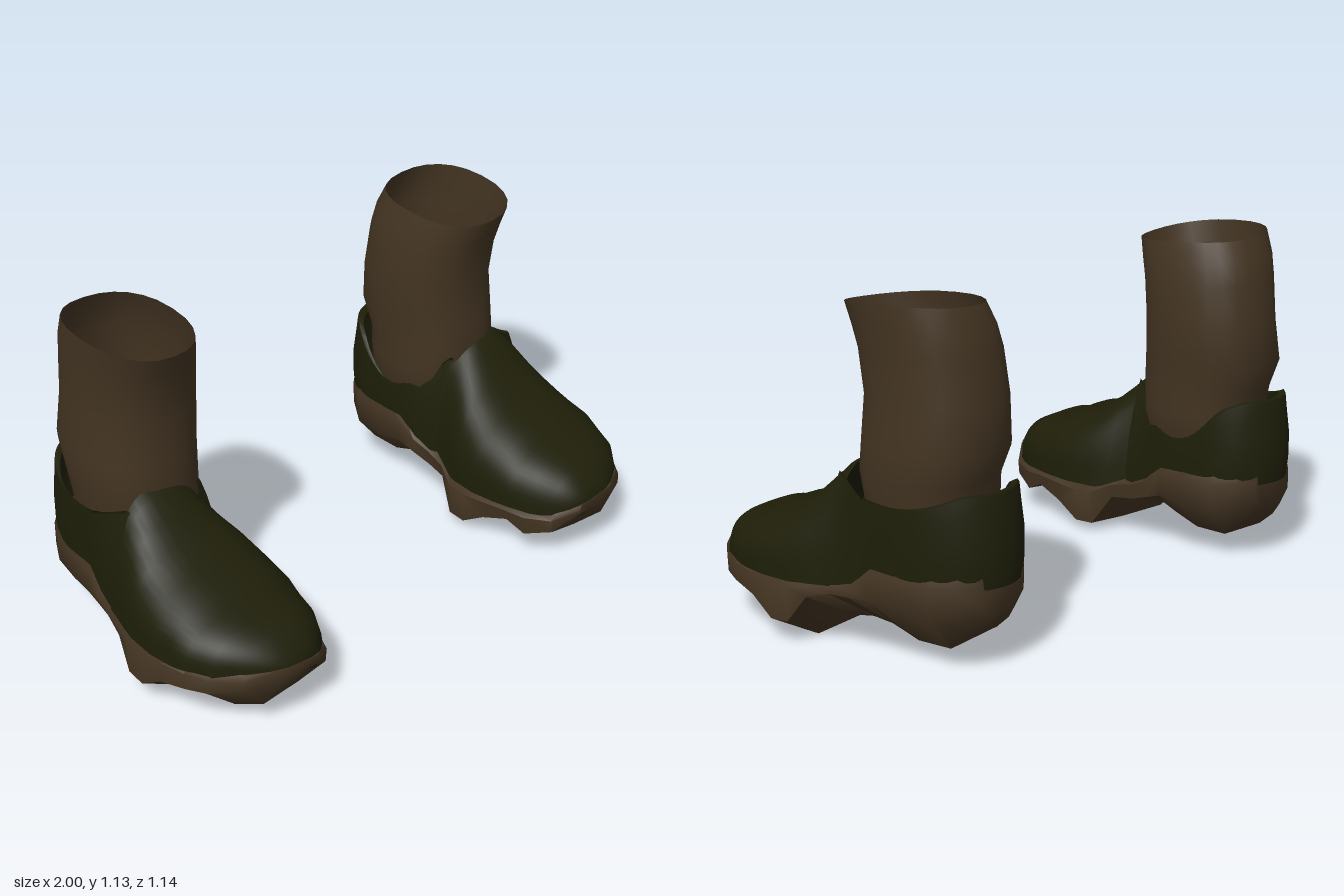
import * as THREE from 'three';
import { toCreasedNormals } from 'three/addons/utils/BufferGeometryUtils.js';

const brown = new THREE.MeshStandardMaterial({ color: 0x433422, side: THREE.DoubleSide });
brown.name = 'brown leather';
const green = new THREE.MeshStandardMaterial({ color: 0x1e1e09, side: THREE.DoubleSide });
green.name = 'dark green cloth';

const { smoothstep, clamp } = THREE.MathUtils;

// Skin a list of cross-sections (arrays of [x, y, z]); side -1 mirrors in x
function loft(rows, side, { closed = false, capStart = false, capEnd = false } = {}) {
  const n = rows[0].length, pos = [], idx = [];
  rows.forEach(r => r.forEach(p => pos.push(p[0] * side, p[1], p[2])));
  const tri = (a, b, c) => (side > 0 ? idx.push(a, b, c) : idx.push(a, c, b));
  for (let i = 0; i < rows.length - 1; i++) {
    for (let j = 0; j < (closed ? n : n - 1); j++) {
      const a = i * n + j, b = i * n + (j + 1) % n;
      tri(a, b, a + n);
      tri(b, b + n, a + n);
    }
  }
  const last = (rows.length - 1) * n;
  for (let j = 1; j < n - 1; j++) {
    if (capStart) tri(0, j + 1, j);
    if (capEnd) tri(last, last + j, last + j + 1);
  }
  const g = new THREE.BufferGeometry();
  g.setAttribute('position', new THREE.Float32BufferAttribute(pos, 3));
  g.setIndex(idx);
  g.computeVertexNormals();
  return g;
}

const pow = (v, e) => Math.sign(v) * Math.abs(v) ** e;

// Rounded arch sections over the forefoot: z, inner x, outer x, top y
const VAMP = [
  [0.565, 0.63, 0.75, 0.235], [0.545, 0.59, 0.8, 0.265], [0.5, 0.54, 0.87, 0.31],
  [0.43, 0.5, 0.935, 0.343], [0.35, 0.477, 0.973, 0.352], [0.29, 0.465, 0.987, 0.392],
  [0.2, 0.455, 0.995, 0.414], [0.1, 0.465, 0.985, 0.475], [0.04, 0.485, 0.972, 0.53],
  [-0.02, 0.505, 0.955, 0.588], [-0.055, 0.51, 0.947, 0.605],
];
function vampRows() {
  return VAMP.map(([z, xi, xo, top]) => {
    const row = [], c = (xi + xo) / 2, w = (xo - xi) / 2;
    for (let k = 0; k <= 24; k++) {
      const a = Math.PI * k / 24, u = pow(Math.cos(a), 0.75);
      const base = 0.19 + 0.02 * u;
      // ankle sections narrow towards the top, and the peak sits slightly outward
      const s = Math.sin(a) ** 0.75, ankle = s * smoothstep(-z, -0.15, 0.05);
      row.push([c + w * u * (1 - 0.16 * ankle) + 0.012 * ankle * s, base + (top - base) * s, z]);
    }
    return row;
  });
}

// Heel wall: path round the back from the outer to the inner side
const HEEL = [
  [0.952, -0.03], [0.938, -0.08], [0.912, -0.2], [0.897, -0.33], [0.868, -0.43], [0.815, -0.51],
  [0.73, -0.562], [0.64, -0.562], [0.555, -0.51], [0.508, -0.43], [0.493, -0.33],
  [0.493, -0.2], [0.503, -0.08], [0.507, -0.03],
];
function heelRows() {
  const path = new THREE.CatmullRomCurve3(HEEL.map(([x, z]) => new THREE.Vector3(x, 0, z))).getPoints(44);
  const collar = (x, z) => {
    const t = clamp((-z - 0.04) / 0.48, 0, 1);
    const outer = 0.515 + (t < 0.5 ? 0.055 : 0.06) * (2 * t - 1) ** 2;
    // the inner side is cut lower than the outer
    const dip = x < 0.6 ? 0.1 * Math.sin(Math.PI * Math.min(1, t * 1.15)) : 0;
    return outer - dip;
  };
  // height fraction and inward scale of each row, ending in a turned-in lip
  return [[0, 0.98], [0.2, 1], [0.5, 1], [0.8, 0.96], [0.97, 0.94], [1, 0.92], [0.96, 0.85]].map(([t, s]) =>
    path.map(p => {
      const low = 0.2 + 0.08 * smoothstep(-p.z, 0.12, 0.22);
      const sx = 1 - (1 - s) * 0.3 - 0.36 * t * t * smoothstep(p.z, -0.2, 0);
      return [0.72 + (p.x - 0.72) * sx, low + (collar(p.x, p.z) - low) * t, p.z < -0.2 ? -0.2 + (p.z + 0.2) * s : p.z];
    }));
}

// Sole sections: z, inner x, outer x, bottom y, outer ridge y, top y inner, top y outer
const SOLE = [
  [0.567, 0.61, 0.77, 0.17, 0.19, 0.205, 0.22], [0.51, 0.53, 0.88, 0.085, 0.17, 0.175, 0.22],
  [0.42, 0.485, 0.95, 0.055, 0.155, 0.17, 0.22], [0.35, 0.468, 0.98, 0.09, 0.15, 0.17, 0.22],
  [0.25, 0.455, 0.995, 0.055, 0.13, 0.17, 0.22], [0.16, 0.45, 1, 0, 0.075, 0.17, 0.22],
  [0.09, 0.455, 0.995, 0.002, 0.08, 0.18, 0.22], [0.02, 0.485, 0.975, 0.11, 0.175, 0.2, 0.22],
  [-0.06, 0.5, 0.955, 0.1, 0.2, 0.22, 0.225], [-0.13, 0.49, 0.938, 0.11, 0.2, 0.25, 0.245],
  [-0.2, 0.482, 0.922, 0.1, 0.2, 0.31, 0.315], [-0.3, 0.482, 0.907, 0.068, 0.2, 0.32, 0.325],
  [-0.42, 0.493, 0.88, 0.068, 0.2, 0.32, 0.325], [-0.49, 0.535, 0.84, 0.125, 0.215, 0.32, 0.325],
  [-0.54, 0.59, 0.78, 0.18, 0.23, 0.31, 0.315],
];
function soleRows() {
  return SOLE.map(([z, xi, xo, b, ridge, ti, to]) => {
    const w = xo - xi, h = Math.min(ti, to) - b;
    // the heel block is undercut more than the forefoot
    const heel = smoothstep(-z, 0, 0.2);
    return [
      [xi + w * 0.06, ti + 0.01, z], [xi, ti - h * 0.15, z], [xi + w * 0.015, b + Math.min(0.03 + 0.08 * heel, h * 0.45), z],
      [xi + w * (0.35 - 0.12 * heel), b + 0.012, z], [xi + w * 0.76, b, z],
      [xo, ridge, z], [xo, Math.max(to - h * 0.15, ridge + 0.01), z], [xo - w * 0.05, to + 0.01, z],
    ];
  });
}

// Ankle tube rings: y, inner x, outer x, front z, back z
const SOCK = [
  [0.3, 0.55, 0.84, -0.05, -0.42], [0.4, 0.5, 0.86, -0.04, -0.44], [0.5, 0.492, 0.872, -0.035, -0.45],
  [0.58, 0.495, 0.885, -0.028, -0.46], [0.68, 0.487, 0.885, -0.033, -0.502], [0.82, 0.48, 0.872, -0.04, -0.486],
  [0.96, 0.492, 0.875, -0.022, -0.47], [1.03, 0.505, 0.88, -0.002, -0.455], [1.1, 0.525, 0.885, 0.02, -0.425],
];
function sockRows() {
  return SOCK.map(([y, xi, xo, zf, zb]) => {
    const row = [], tilt = smoothstep(y, 0.7, 1.1);
    for (let k = 0; k < 24; k++) {
      const a = Math.PI * 2 * k / 24, u = pow(Math.cos(a), 0.85), v = pow(Math.sin(a), 0.85);
      // the rim rises to the back and a little to the outer side
      const rim = 0.012 * u - 0.018 * v + 0.01 * (1 - v * v);
      row.push([(xi + xo) / 2 + (xo - xi) / 2 * u, y + tilt * rim, (zf + zb) / 2 + (zf - zb) / 2 * v]);
    }
    return row;
  });
}

function makeBoot(side) {
  const boot = new THREE.Group();
  boot.name = side > 0 ? 'leftBoot' : 'rightBoot';
  const add = (name, geometry, material) => {
    const mesh = new THREE.Mesh(geometry, material);
    mesh.name = name;
    boot.add(mesh);
  };
  add('sole', toCreasedNormals(loft(soleRows(), side, { closed: true, capStart: true, capEnd: true }), 0.85), brown);
  add('toeUpper', loft(vampRows(), side, { capStart: true }), green);
  add('heelUpper', loft(heelRows(), side), green);
  // the tube is closed by a floor at its foot
  add('ankleTube', toCreasedNormals(loft(sockRows(), side, { closed: true, capStart: true }), 0.9), brown);
  return boot;
}

export function createModel() {
  const model = new THREE.Group();
  model.name = 'boots';
  for (const side of [1, -1]) model.add(makeBoot(side));
  return model;
}
